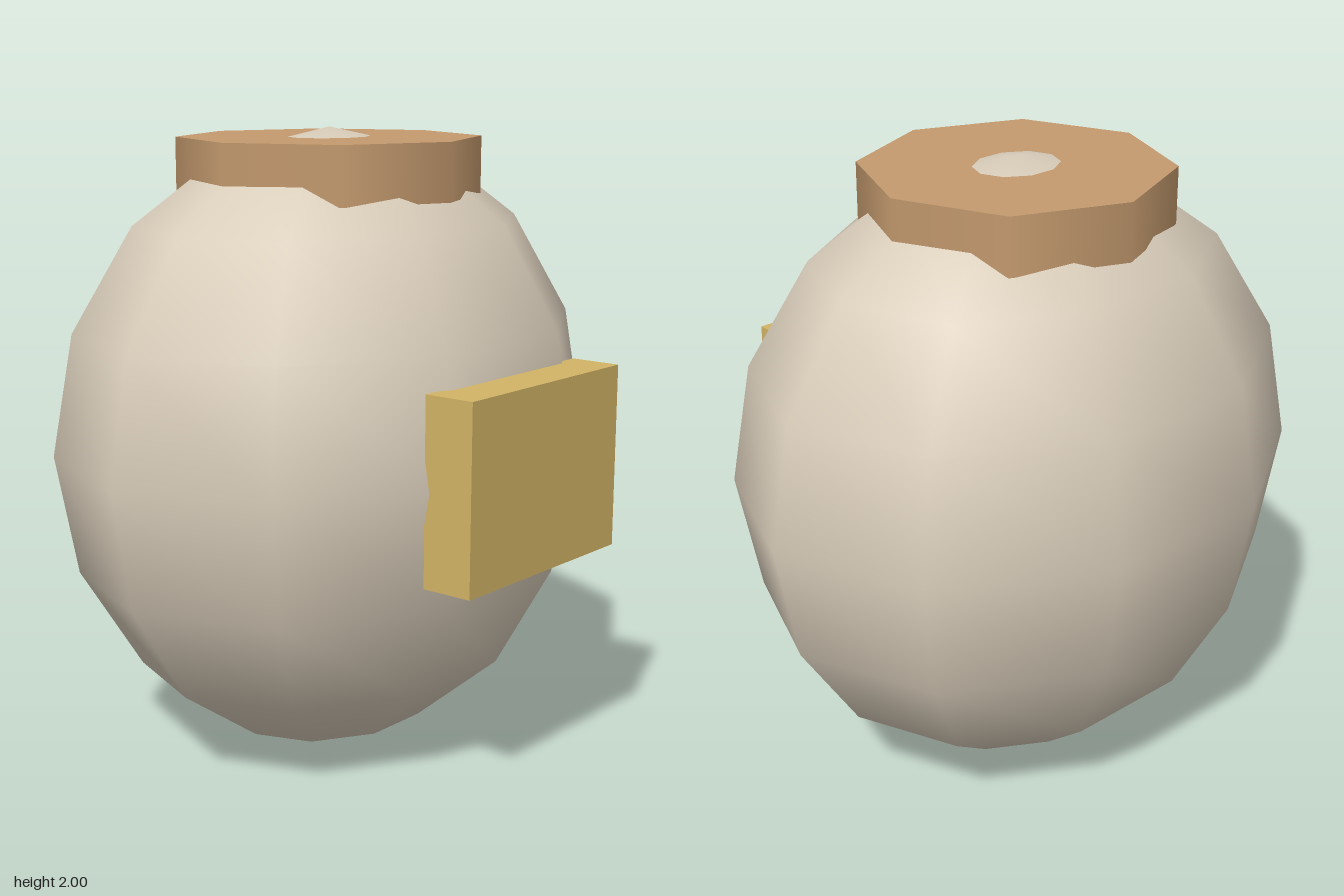
import * as THREE from 'three';

export function createModel() {
  const group = new THREE.Group();
  const mat = (name, color) => {
    const m = new THREE.MeshStandardMaterial({ color });
    m.name = name;
    return m;
  };
  const add = (name, geometry, material, x, y, z) => {
    const mesh = new THREE.Mesh(geometry, material);
    mesh.name = name;
    mesh.position.set(x, y, z);
    group.add(mesh);
    return mesh;
  };

  const cream = mat('cream', 0xd9cdba);
  const tan = mat('tan', 0xc49a6e);
  const gold = mat('gold', 0xd3b466);
  const axisZ = -0.051;

  // Low-segment jar body, flattened front to back
  const body = add('body', new THREE.SphereGeometry(1, 10, 8), cream, 0, 1.002, axisZ);
  body.scale.set(0.955, 0.998, 0.79);

  // Octagonal lid, the crown of the body just pokes through it
  add('lid', new THREE.CylinderGeometry(0.482, 0.482, 0.18, 8), tan, 0, 1.88, axisZ);

  // Front label block
  add('label', new THREE.BoxGeometry(0.75, 0.575, 0.165), gold, 0, 1.003, 0.7175);

  return group;
}
